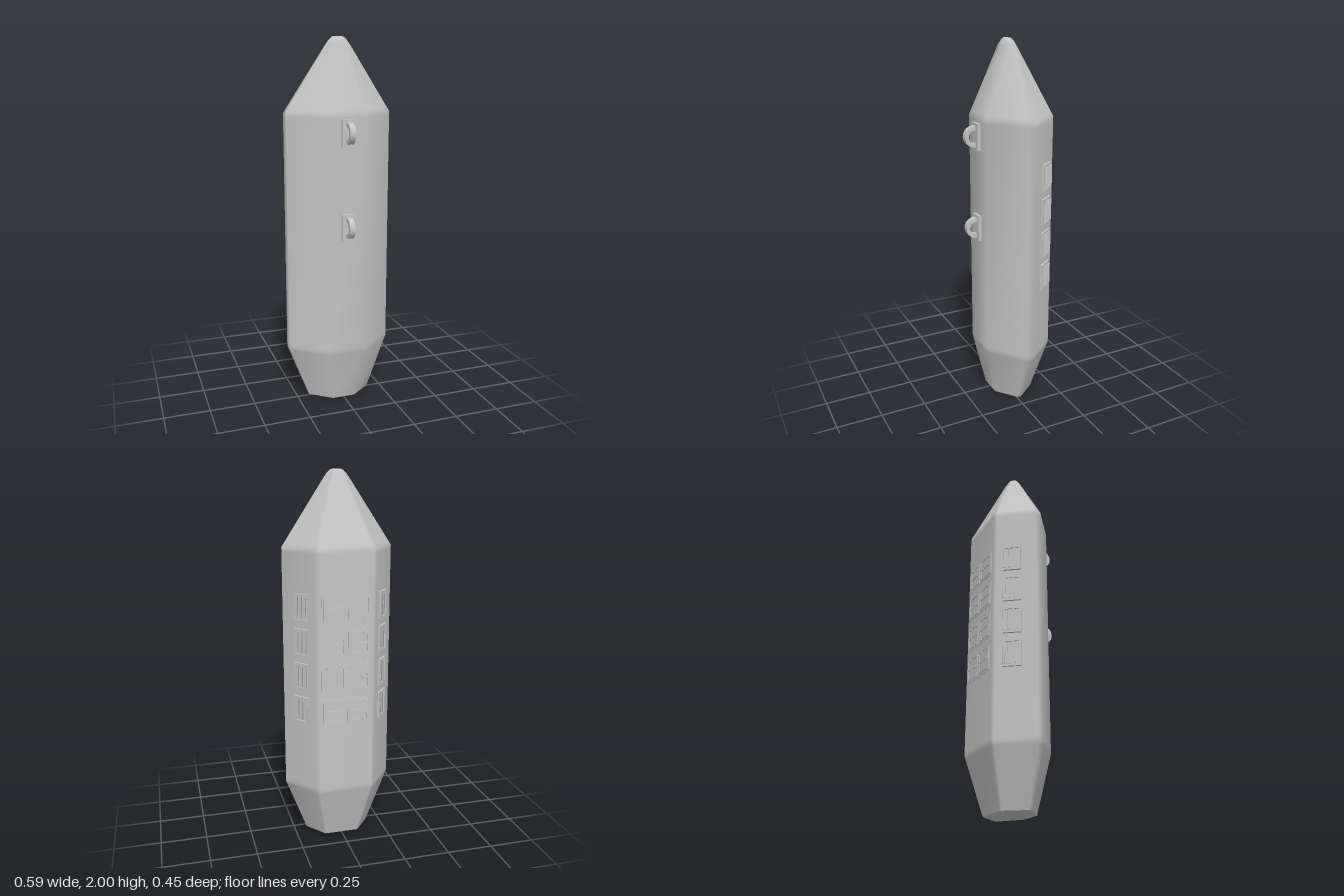
import * as THREE from 'three';

const grey = new THREE.MeshStandardMaterial({ color: 0xc4c4c4 });
grey.name = 'hull grey';

function add(parent, geometry, name, x = 0, y = 0, z = 0) {
  const mesh = new THREE.Mesh(geometry, grey);
  mesh.name = name;
  mesh.position.set(x, y, z);
  parent.add(mesh);
  return mesh;
}

function rect(path, w, h) {
  path.moveTo(-w / 2, -h / 2);
  path.lineTo(w / 2, -h / 2);
  path.lineTo(w / 2, h / 2);
  path.lineTo(-w / 2, h / 2);
  path.closePath();
  return path;
}

// Rectangular rim lying in xy, rising along +z
function frame(w, h, rim, depth) {
  const shape = rect(new THREE.Shape(), w, h);
  shape.holes.push(rect(new THREE.Path(), w - 2 * rim, h - 2 * rim));
  return new THREE.ExtrudeGeometry(shape, { depth, bevelEnabled: false });
}

// Chamfered six-sided section, lofted upwards
function hullGeometry() {
  const half = [[0.105, 0.148], [0.29, 0], [0.297, -0.035], [0.165, -0.205], [0.145, -0.218]];
  const section = [...half, ...half.slice().reverse().map(([x, z]) => [-x, z])];
  // height, scale, z shift
  const levels = [
    [0, 0.605, -0.004], [0.29, 0.98, 0], [0.305, 1, 0], [0.325, 1, 0],
    [1.59, 1, 0], [1.61, 1, 0], [1.63, 0.956, -0.001],
    [1.96, 0.225, -0.012], [1.98, 0.175, -0.014], [1.993, 0.13, -0.015], [2, 0.09, -0.016]
  ];
  const n = section.length, pos = [], index = [];
  for (const [y, s, dz] of levels) for (const [x, z] of section) pos.push(x * s, y, z * s + dz);
  for (let i = 0; i < levels.length - 1; i++) {
    for (let j = 0; j < n; j++) {
      const a = i * n + j, b = i * n + (j + 1) % n;
      index.push(a, b, b + n, a, b + n, a + n);
    }
  }
  // Flat end caps with their own vertices
  for (const top of [false, true]) {
    const [y, s, dz] = levels[top ? levels.length - 1 : 0];
    const base = pos.length / 3;
    for (const [x, z] of section) pos.push(x * s, y, z * s + dz);
    for (let j = 1; j < n - 1; j++) {
      if (top) index.push(base, base + j, base + j + 1);
      else index.push(base, base + j + 1, base + j);
    }
  }
  const g = new THREE.BufferGeometry();
  g.setAttribute('position', new THREE.Float32BufferAttribute(pos, 3));
  g.setIndex(index);
  g.computeVertexNormals();
  return g;
}

// Half-ring with short straight legs, swept across x
function loopGeometry() {
  const shape = new THREE.Shape();
  shape.moveTo(0, -0.056);
  shape.lineTo(0.014, -0.056);
  shape.absarc(0.014, 0, 0.056, -Math.PI / 2, Math.PI / 2, false);
  shape.lineTo(0, 0.056);
  shape.lineTo(0, 0.034);
  shape.lineTo(0.014, 0.034);
  shape.absarc(0.014, 0, 0.034, Math.PI / 2, -Math.PI / 2, true);
  shape.lineTo(0, -0.034);
  shape.closePath();
  const g = new THREE.ExtrudeGeometry(shape, { depth: 0.03, bevelEnabled: false, curveSegments: 20 });
  g.translate(0, 0, -0.015);
  g.rotateY(-Math.PI / 2);
  return g;
}

function mountingLoop(y) {
  const g = new THREE.Group();
  g.name = 'mountingLoop';
  add(g, new THREE.BoxGeometry(0.075, 0.14, 0.02), 'loopPlate', 0, 0, 0.155);
  add(g, loopGeometry(), 'loop', 0, 0, 0.155);
  g.position.y = y;
  return g;
}

// Louvred vent on a slanted rear flank
function sideVent(side, y) {
  const g = new THREE.Group();
  g.name = side > 0 ? 'leftVent' : 'rightVent';
  const angle = Math.atan2(0.79 * side, -0.614);
  const plate = add(g, new THREE.BoxGeometry(0.094, 0.145, 0.008), 'ventPlate');
  const rim = add(g, frame(0.094, 0.145, 0.011, 0.011), 'ventRim');
  plate.rotation.y = rim.rotation.y = angle;
  for (const t of [-1, 0, 1]) {
    add(g, new THREE.BoxGeometry(0.003, 0.116, 0.026), 'ventBlade', side * t * 0.0165, 0, t * 0.0213 - 0.013);
  }
  g.position.set(side * 0.218, y, -0.137);
  return g;
}

// Pair of hinged panels on the flat back
function backPanels(y) {
  const g = new THREE.Group();
  g.name = 'backPanels';
  add(g, new THREE.BoxGeometry(0.264, 0.145, 0.008), 'panelBase', 0, 0, -0.217);
  for (const side of [-1, 1]) {
    const x = side * 0.066;
    add(g, frame(0.114, 0.122, 0.008, 0.004), 'panelRim', x, 0, -0.2245);
    add(g, new THREE.BoxGeometry(0.1, 0.006, 0.004), 'panelBar', x, 0, -0.2225);
    for (const dx of [-0.033, 0.033]) for (const dy of [-0.055, 0, 0.055]) {
      add(g, new THREE.BoxGeometry(0.02, 0.013, 0.006), 'panelClip', x + dx, dy, -0.223);
    }
  }
  g.position.y = y;
  return g;
}

export function createModel() {
  const model = new THREE.Group();
  model.name = 'pod';
  add(model, hullGeometry(), 'hull');
  for (const y of [1.015, 1.512]) model.add(mountingLoop(y));
  for (let i = 0; i < 4; i++) {
    const y = 0.76 + i * 0.184;
    model.add(backPanels(y), sideVent(1, y), sideVent(-1, y));
  }
  return model;
}
